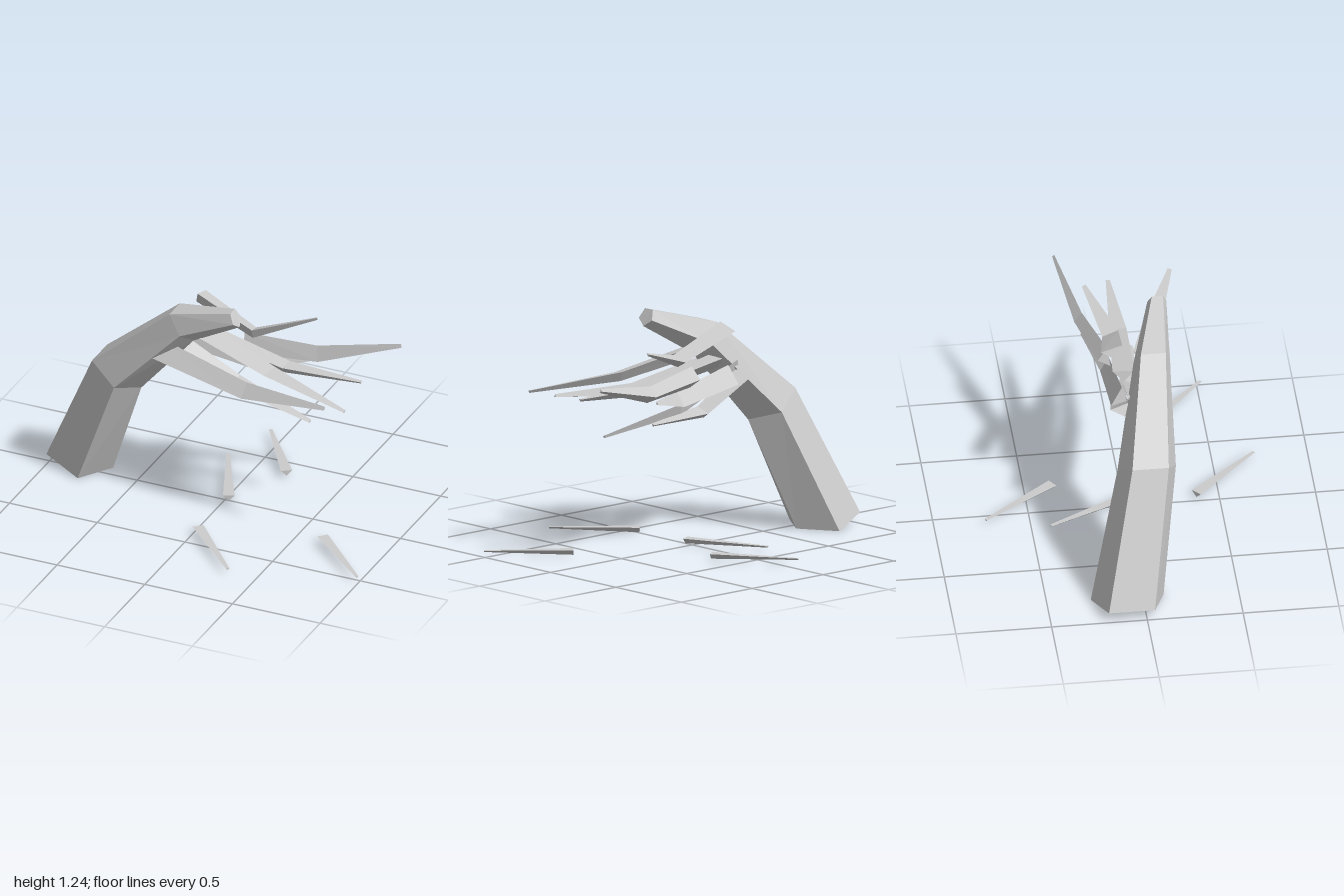
import * as THREE from 'three';

const V = (p) => new THREE.Vector3(...p);

// Skin a list of rings (each counter-clockwise around the growing axis), closed at both ends
function loft(rings) {
  const pos = [];
  const tri = (a, b, c) => [a, b, c].forEach((p) => pos.push(p.x, p.y, p.z));
  const n = rings[0].length;
  for (let r = 0; r < rings.length - 1; r++) {
    const lo = rings[r], hi = rings[r + 1];
    for (let i = 0; i < n; i++) {
      const j = (i + 1) % n;
      tri(lo[i], lo[j], hi[j]);
      tri(lo[i], hi[j], hi[i]);
    }
  }
  const first = rings[0], last = rings[rings.length - 1];
  for (let i = 1; i < n - 1; i++) {
    tri(first[0], first[i + 1], first[i]);
    tri(last[0], last[i], last[i + 1]);
  }
  const geo = new THREE.BufferGeometry();
  geo.setAttribute('position', new THREE.Float32BufferAttribute(pos, 3));
  geo.computeVertexNormals();
  return geo;
}

// Three-sided tapering spike along a path; its broad face looks towards 'facing'
function spike(path, widths, depths, facing) {
  const pts = path.map(V);
  const rings = pts.map((p, i) => {
    const axis = pts[Math.min(i + 1, pts.length - 1)].clone()
      .sub(pts[Math.max(i - 1, 0)]).normalize();
    const n = V(facing);
    n.addScaledVector(axis, -n.dot(axis)).normalize();
    const s = n.clone().cross(axis);
    const at = (u, v) => p.clone().addScaledVector(s, u).addScaledVector(n, v);
    const w = widths[i], d = depths[i];
    return [at(w, d / 3), at(-w, d / 3), at(0, -2 * d / 3)];
  });
  return loft(rings);
}

export function createModel() {
  const group = new THREE.Group();
  const grey = new THREE.MeshStandardMaterial({ color: 0xcccccc });
  grey.name = 'light grey';
  const add = (name, geo) => {
    const mesh = new THREE.Mesh(geo, grey);
    mesh.name = name;
    group.add(mesh);
  };

  // Bent five-sided trunk
  add('trunk', loft([
    [[-1, 0.06, -0.2], [-1, 0.06, 0.04], [-0.79, 0, 0.11], [-0.67, 0, -0.07], [-0.79, 0, -0.27]],
    [[-0.69, 0.74, -0.04], [-0.69, 0.74, 0.15], [-0.54, 0.64, 0.205], [-0.45, 0.59, 0.06], [-0.54, 0.64, -0.1]],
    [[-0.23, 1.14, 0.06], [-0.23, 1.14, 0.19], [-0.16, 1.04, 0.22], [-0.12, 0.98, 0.13], [-0.16, 1.04, 0.03]],
    [[0.13, 1.24, 0.16], [0.13, 1.24, 0.22], [0.155, 1.19, 0.24], [0.17, 1.155, 0.19], [0.155, 1.19, 0.14]],
  ].map((ring) => ring.map(V))));

  // Bent spikes bursting from the trunk: base, bend, tip, broad-face direction
  [
    [[-0.18, 1.13, -0.08], [0.14, 1.0, -0.05], [0.455, 1.1, -0.155], [0, 0.95, -0.3]],
    [[0.07, 0.91, -0.09], [0.45, 0.885, -0.175], [0.885, 0.985, -0.26], [0, 0.15, 1]],
    [[-0.08, 1.01, 0.09], [0.34, 0.92, 0.19], [0.835, 0.882, 0.34], [0, 1, 0.2]],
    [[-0.33, 0.91, 0.16], [0.22, 0.81, 0.23], [0.7, 0.845, 0.29], [0, 0.6, 1]],
    [[-0.23, 0.87, -0.05], [0.16, 0.8, -0.07], [0.405, 0.835, -0.17], [0, 0.6, -1]],
    [[-0.32, 0.9, 0.02], [0.07, 0.725, 0.03], [0.53, 0.635, 0.1], [0, 1, 0.5]],
    [[-0.33, 0.87, -0.05], [-0.05, 0.7, -0.03], [0.25, 0.667, 0.03], [0, 1, -0.3]],
    [[-0.15, 0.96, -0.02], [0.35, 0.87, 0.01], [0.78, 0.88, 0.01], [0, 1, 0]],
  ].forEach(([base, bend, tip, facing], i) => add('spike' + (i + 1),
    spike([base, bend, tip], [0.058, 0.045, 0.011], [0.06, 0.048, 0.012], facing)));

  // Loose splinters lying flat: base x, z and tip x, z
  [
    [0.19, -0.35, -0.075, -0.73],
    [0.03, 0.02, -0.165, -0.4],
    [0.02, 0.38, 0.345, 0.72],
    [0.65, 0.205, 0.99, 0.52],
  ].forEach(([bx, bz, tx, tz], i) => add('splinter' + (i + 1),
    spike([[bx, 0.03, bz], [tx, 0.03, tz]], [0.03, 0.009], [0.03, 0.008], [0, 1, 0])));

  return group;
}
